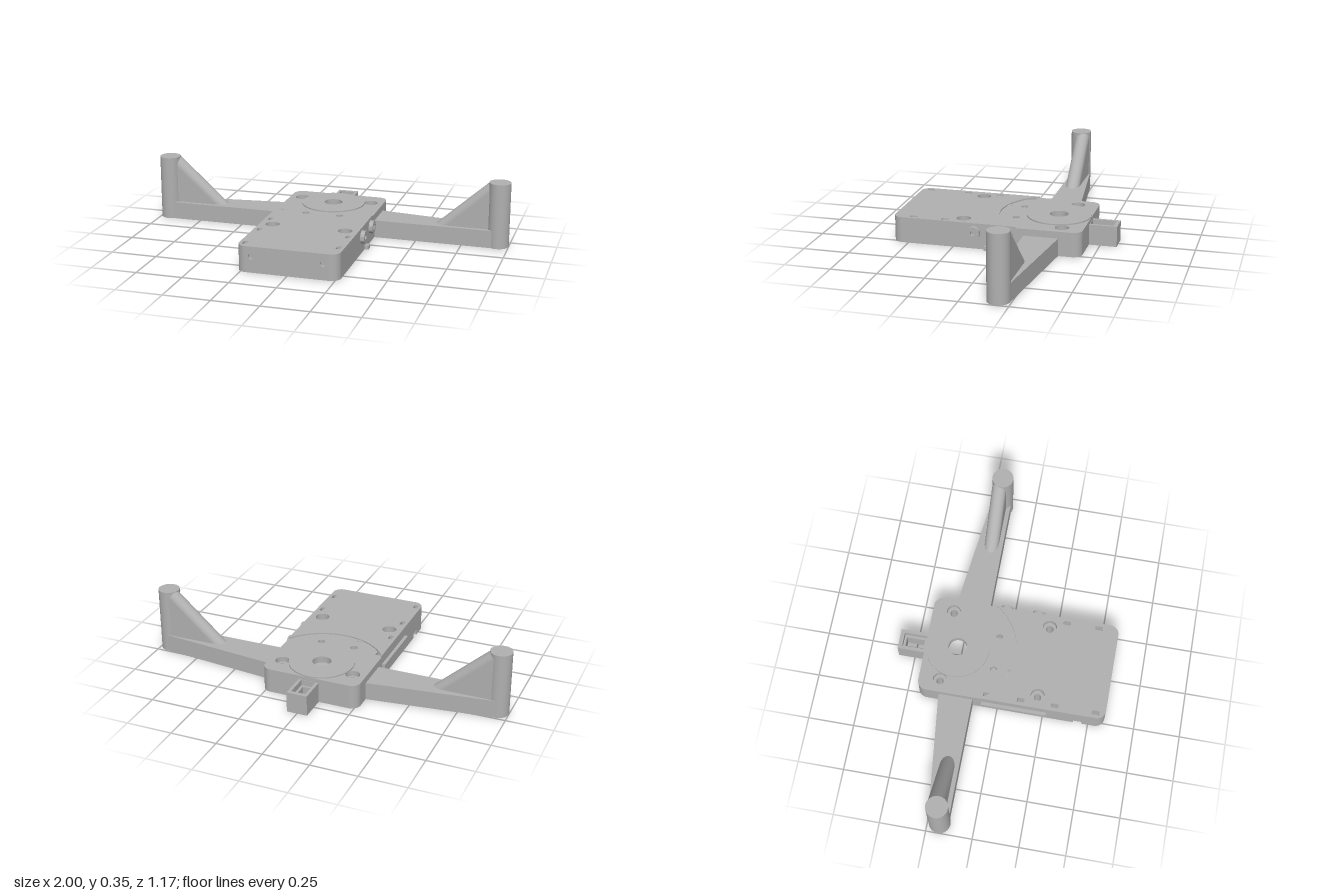
import * as THREE from 'three';
import { toCreasedNormals } from 'three/addons/utils/BufferGeometryUtils.js';

const grey = new THREE.MeshStandardMaterial({ color: 0xb0b0b0 });
grey.name = 'grey plastic';

const W = 0.27, BACK = -0.44, FRONT = 0.585, R = 0.05;
const CEIL = 0.105, STEP = 0.133, TOP = 0.14;
const HUB = -0.265; // z of the turntable centre

function add(parent, name, geometry) {
  const mesh = new THREE.Mesh(geometry, grey);
  mesh.name = name;
  parent.add(mesh);
  return mesh;
}

function box(parent, name, x0, x1, y0, y1, z0, z1) {
  const g = new THREE.BoxGeometry(x1 - x0, y1 - y0, z1 - z0);
  g.translate((x0 + x1) / 2, (y0 + y1) / 2, (z0 + z1) / 2);
  return add(parent, name, g);
}

const extrude = (shape, depth) => toCreasedNormals(
  new THREE.ExtrudeGeometry(shape, { depth, bevelEnabled: false, curveSegments: 24 }), 0.5);

// Slab from a plan drawn in (x, z), between two heights
function slab(parent, name, shape, y0, y1) {
  return add(parent, name, extrude(shape, y1 - y0).rotateX(Math.PI / 2).translate(0, y1, 0));
}

const circle = (x, z, r) => new THREE.Path().absarc(x, z, r, 0, Math.PI * 2, true);
const polygon = (pts, Type = THREE.Path) => new Type(pts.map(([x, y]) => new THREE.Vector2(x, y)));
const rect = (x0, x1, z0, z1, Type) => polygon([[x0, z0], [x1, z0], [x1, z1], [x0, z1]], Type);

const CAVITY = [[-0.17, 0.465], [0.14, 0.465], [0.14, -0.36], [-0.17, -0.36]];

// Rounded body plan, optionally with a front recess and a side opening into the cavity
function bodyPlan({ recess = false, opening = false } = {}) {
  const s = new THREE.Shape();
  s.moveTo(-W + R, BACK);
  s.absarc(W - R, BACK + R, R, -Math.PI / 2, 0);
  s.absarc(W - R, FRONT - R, R, 0, Math.PI / 2);
  if (recess) for (const [x, z] of [[0.215, FRONT], [0.215, 0.565], [-0.215, 0.565], [-0.215, FRONT]]) s.lineTo(x, z);
  s.absarc(-W + R, FRONT - R, R, Math.PI / 2, Math.PI);
  if (opening) {
    s.lineTo(-W, 0.465);
    for (const [x, z] of CAVITY) s.lineTo(x, z);
    s.lineTo(-0.17, 0.42);
    s.lineTo(-W, 0.42);
  }
  s.absarc(-W + R, BACK + R, R, Math.PI, Math.PI * 1.5);
  return s;
}

const SCREWS = [[-0.2, -0.325], [0.2, -0.325], [-0.2, 0.21], [0.2, 0.21]];
const SLOTS = [[-0.24, -0.06], [-0.24, 0.125], [-0.24, 0.31], [-0.24, 0.53], [0.24, 0.3], [0.24, 0.475]];
const screwHoles = (r, front) => SCREWS.filter(p => !front || p[1] > 0).map(([x, z]) => circle(x, z, r));
const slotHoles = front => SLOTS.filter(p => !front || p[1] > -0.05)
  .map(([x, z]) => rect(x - 0.011, x + 0.011, z - 0.02, z + 0.02));
const pinHoles = () => [-0.095, 0.095].map(x => circle(x, -0.05, 0.019));

function buildBody() {
  const body = new THREE.Group();
  body.name = 'body';

  // Hollow lower walls
  const foot = bodyPlan({ recess: true, opening: true });
  foot.holes.push(...screwHoles(0.02), ...slotHoles());
  slab(body, 'lowerWalls', foot, 0, 0.03);
  const walls = bodyPlan({ recess: true });
  walls.holes.push(polygon(CAVITY), ...screwHoles(0.02), ...slotHoles());
  slab(body, 'upperWalls', walls, 0.03, CEIL);

  // Deck with screw counterbores and hub hole
  const deck = bodyPlan();
  deck.holes.push(circle(0, HUB, 0.05), ...screwHoles(0.038), ...slotHoles(), ...pinHoles());
  slab(body, 'deck', deck, CEIL, STEP);

  // Raised top skin, cut by a large arc around the hub
  const cut = 0.32, a = Math.acos(W / cut);
  const skin = new THREE.Shape();
  skin.absarc(0, HUB, cut, Math.PI - a, a, true);
  skin.absarc(W - R, FRONT - R, R, 0, Math.PI / 2);
  skin.absarc(-W + R, FRONT - R, R, Math.PI / 2, Math.PI);
  skin.holes.push(...screwHoles(0.038, true), ...slotHoles(true));
  slab(body, 'topSkin', skin, STEP, TOP);

  // Hub disc
  const disc = new THREE.Shape().absarc(0, HUB, 0.174, 0, Math.PI * 2);
  disc.holes.push(circle(0, HUB, 0.05));
  slab(body, 'hubDisc', disc, STEP, TOP);

  // Front plate with two round holes
  const plate = rect(-0.215, 0.215, 0, CEIL, THREE.Shape);
  plate.holes.push(circle(-0.19, 0.086, 0.016), circle(0.19, 0.086, 0.016));
  add(body, 'frontPlate', extrude(plate, 0.02).translate(0, 0, 0.565));

  // Rounded housing inside the cavity
  const housing = new THREE.CylinderGeometry(0.07, 0.07, 0.42, 32).rotateX(Math.PI / 2);
  add(body, 'innerHousing', housing.translate(-0.1, 0.09, 0.235).scale(1, 0.85, 1));
  return body;
}

function buildFittings() {
  const fittings = new THREE.Group();
  fittings.name = 'fittings';

  // Round sockets, tab and rail on the sides
  for (const z of [-0.042, 0.135]) {
    const ring = new THREE.Shape().absarc(0, 0, 0.035, 0, Math.PI * 2);
    ring.holes.push(circle(0, 0, 0.014));
    add(fittings, 'sideSocket', extrude(ring, 0.022).rotateY(Math.PI / 2).translate(W, 0.09, z));
  }
  box(fittings, 'sideTab', W - 0.01, 0.292, 0, 0.022, 0.04, 0.075);
  box(fittings, 'sideRail', -0.288, -W + 0.01, 0.065, 0.088, -0.085, 0.27);

  // Square loop at the back
  for (const [x, z, y0, y1] of [[0.025, 0.05, 0, 0.08], [0.039, 0.063, 0.08, 0.112]]) {
    const loop = rect(-0.056, 0.056, -0.59, BACK, THREE.Shape);
    loop.holes.push(rect(-x, x, -0.505 - z, -0.505 + z));
    slab(fittings, 'backLoop', loop, y0, y1);
  }
  return fittings;
}

// One arm with its post and sloping brace; side is +1 or -1
function buildArm(side) {
  const arm = new THREE.Group();
  arm.name = side > 0 ? 'leftArm' : 'rightArm';
  const px = 0.942, pz = -0.185;

  const plan = [[0.25, -0.323], [px + 0.005, pz - 0.057], [px, pz + 0.05], [0.25, -0.135]]
    .map(([x, z]) => [x * side, z]);
  slab(arm, 'beam', polygon(plan, THREE.Shape), 0, 0.096);

  add(arm, 'post', new THREE.CylinderGeometry(0.058, 0.058, 0.355, 40).translate(px * side, 0.1775, pz));

  // Flat web under a round sloping edge
  const low = new THREE.Vector3(0.627 * side, 0.065, -0.198);
  const high = new THREE.Vector3(0.917 * side, 0.325, -0.198);
  const web = polygon([[low.x, low.y], [high.x, low.y], [high.x, high.y]], THREE.Shape);
  add(arm, 'braceWeb', extrude(web, 0.08).translate(0, 0, -0.238));

  const edge = add(arm, 'braceEdge', new THREE.CylinderGeometry(0.04, 0.04, low.distanceTo(high), 32));
  edge.position.copy(low).lerp(high, 0.5);
  edge.quaternion.setFromUnitVectors(new THREE.Vector3(0, 1, 0), high.clone().sub(low).normalize());
  return arm;
}

export function createModel() {
  const model = new THREE.Group();
  model.name = 'mountingBracket';
  model.add(buildBody(), buildFittings(), buildArm(1), buildArm(-1));
  return model;
}
